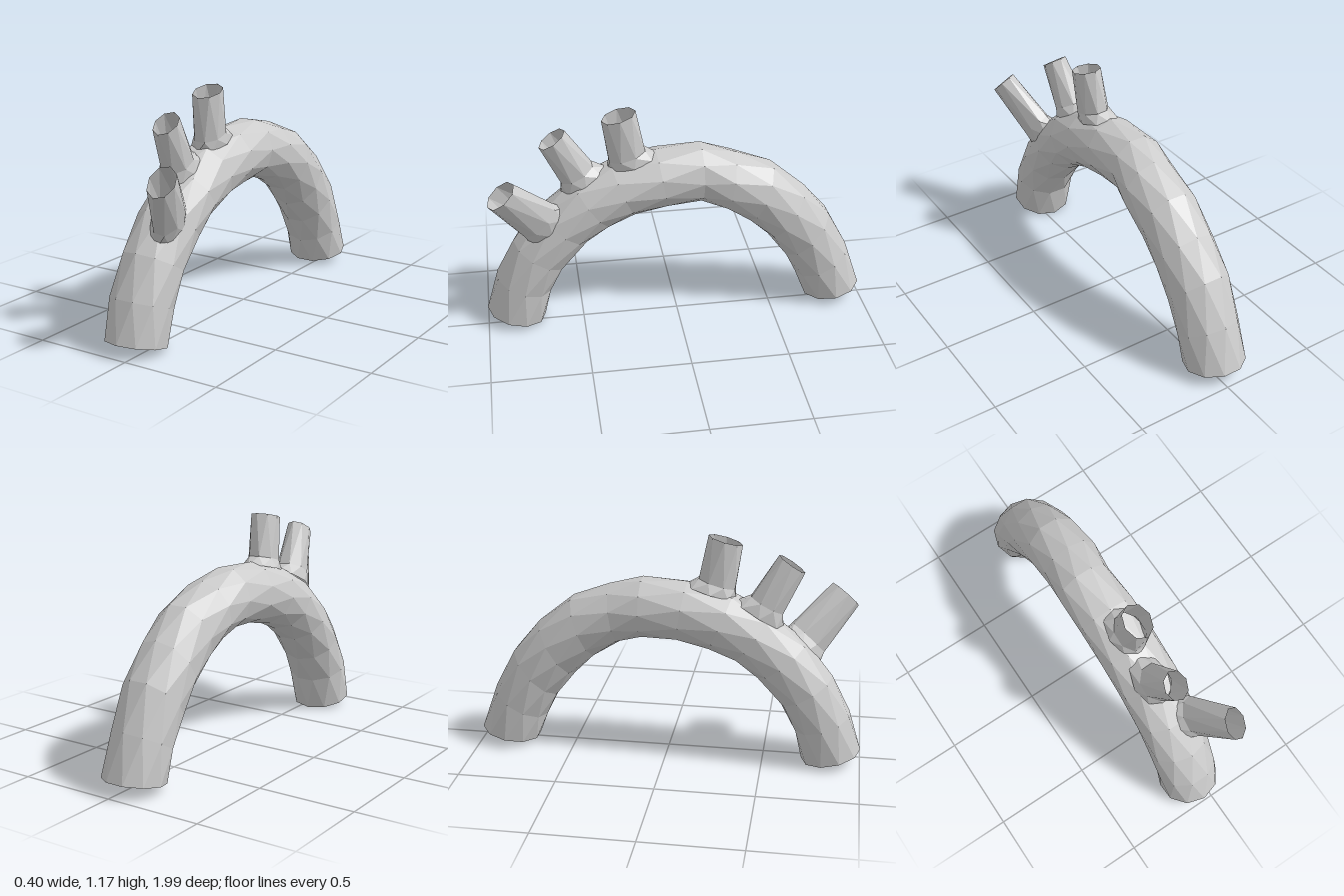
import * as THREE from 'three';

const material = new THREE.MeshStandardMaterial({
  color: 0xcccccc, flatShading: true, side: THREE.DoubleSide,
});

// Open tube through oval rings. Each ring: [zA, yA, zB, yB, x, halfWidth],
// where A and B are the two opposite rim points seen from the side.
function vessel(name, rings, sides, axis) {
  const pos = [], index = [];
  rings.forEach(([zA, yA, zB, yB, x, halfWidth], i) => {
    const centre = new THREE.Vector3(x, (yA + yB) / 2, (zA + zB) / 2);
    const u = new THREE.Vector3(0, (yA - yB) / 2, (zA - zB) / 2);
    const v = axis
      ? axis.clone().cross(u).setLength(halfWidth)
      : new THREE.Vector3(halfWidth, 0, 0);
    // Every second ring is turned half a step for a faceted, triangular skin
    for (let j = 0; j < sides; j++) {
      const t = ((j + (i % 2) * 0.5) / sides) * Math.PI * 2;
      const p = centre.clone().addScaledVector(u, Math.cos(t)).addScaledVector(v, Math.sin(t));
      pos.push(p.x, p.y, p.z);
    }
  });
  for (let i = 0; i < rings.length - 1; i++) {
    for (let j = 0; j < sides; j++) {
      const k = (j + 1) % sides;
      const a = i * sides + j, b = i * sides + k, c = a + sides, d = b + sides;
      if (i % 2) index.push(a, b, d, a, d, c);
      else index.push(a, b, c, b, d, c);
    }
  }
  const geometry = new THREE.BufferGeometry();
  geometry.setAttribute('position', new THREE.Float32BufferAttribute(pos, 3));
  geometry.setIndex(index);
  geometry.computeVertexNormals();
  const mesh = new THREE.Mesh(geometry, material);
  mesh.name = name;
  return mesh;
}

// Main arch: outer rim, inner rim, sideways offset and half width
const arch = [
  [1.0, 0.07, 0.7, 0.0, -0.05, 0.155],
  [0.94, 0.27, 0.66, 0.17, -0.05, 0.157],
  [0.84, 0.47, 0.58, 0.31, -0.05, 0.157],
  [0.7, 0.64, 0.46, 0.45, -0.05, 0.157],
  [0.52, 0.79, 0.34, 0.535, -0.05, 0.157],
  [0.33, 0.88, 0.21, 0.59, -0.05, 0.157],
  [0.1, 0.935, 0.05, 0.625, -0.05, 0.155],
  [-0.13, 0.945, -0.13, 0.635, -0.053, 0.148],
  [-0.3, 0.9, -0.25, 0.59, -0.035, 0.155],
  [-0.5, 0.82, -0.38, 0.51, -0.03, 0.157],
  [-0.67, 0.68, -0.49, 0.4, -0.03, 0.157],
  [-0.81, 0.52, -0.58, 0.28, -0.03, 0.157],
  [-0.92, 0.3, -0.65, 0.15, -0.03, 0.157],
  [-1.0, 0.075, -0.695, 0.02, -0.03, 0.155],
];

// Branches from root to open tip, each with its direction
const branches = [
  ['frontBranch', [0.12, 0.23, 0.2], [
    [0.755, 0.47, 0.57, 0.67, 0.0, 0.085],
    [0.79, 0.555, 0.62, 0.71, 0.045, 0.07],
    [0.95, 0.785, 0.815, 0.9, 0.14, 0.062],
  ]],
  ['middleBranch', [0.03, 0.26, 0.13], [
    [0.585, 0.71, 0.34, 0.85, -0.06, 0.095],
    [0.585, 0.79, 0.415, 0.88, -0.055, 0.08],
    [0.68, 1.0, 0.55, 1.085, -0.03, 0.06],
  ]],
  ['backBranch', [0.02, 0.27, 0.06], [
    [0.345, 0.85, 0.09, 0.92, -0.045, 0.09],
    [0.345, 0.9, 0.15, 0.955, -0.035, 0.075],
    [0.37, 1.125, 0.2, 1.17, -0.022, 0.069],
  ]],
];

export function createModel() {
  const group = new THREE.Group();
  group.name = 'archedVessel';
  group.add(vessel('arch', arch, 10));
  for (const [name, axis, rings] of branches) {
    group.add(vessel(name, rings, 8, new THREE.Vector3(...axis)));
  }
  return group;
}
